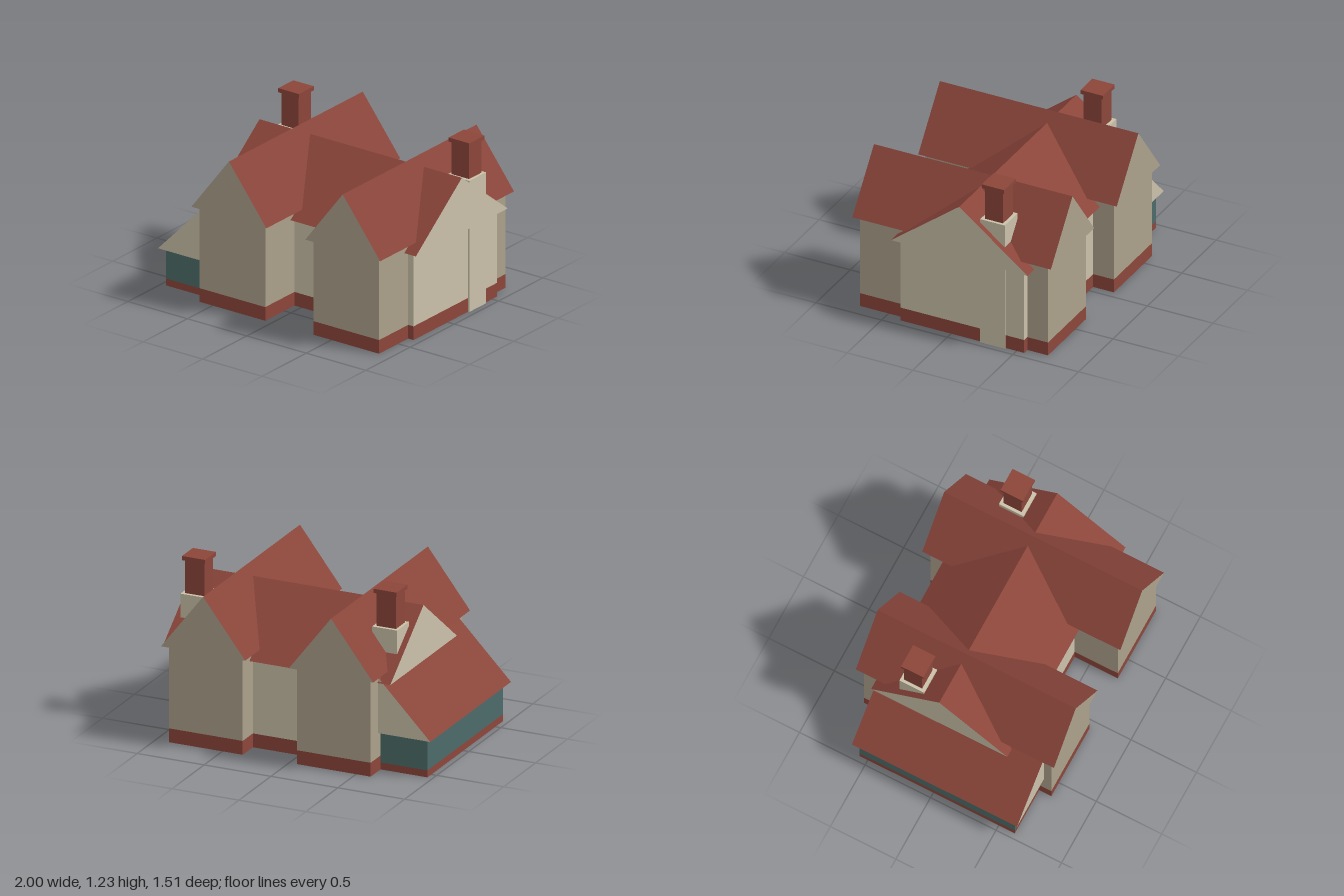
import * as THREE from 'three';

const mat = (color) => new THREE.MeshStandardMaterial({ color });

export function createModel() {
  const house = new THREE.Group();
  house.name = 'house';
  const cream = mat(0xcbc1aa), stone = mat(0xaca08b), brick = mat(0x8c463a),
    roofTile = mat(0x8a453a), glass = mat(0x4c6b69);

  const add = (name, geometry, material) => {
    const mesh = new THREE.Mesh(geometry, material);
    mesh.name = name;
    house.add(mesh);
    return mesh;
  };

  // Box given by its limits on each axis
  const block = (name, material, [x0, x1], [y0, y1], [z0, z1]) => add(name,
    new THREE.BoxGeometry(x1 - x0, y1 - y0, z1 - z0)
      .translate((x0 + x1) / 2, (y0 + y1) / 2, (z0 + z1) / 2), material);

  // Solid roof: plastered gable ends, tiled slopes and soffit
  const prism = (points, start, end) => new THREE.ExtrudeGeometry(
    new THREE.Shape(points.map(([x, y]) => new THREE.Vector2(x, y))),
    { depth: end - start, bevelEnabled: false }).translate(0, 0, start);

  // Main range, with its ridge running along x
  const mainX = [-0.655, 0.945], mainZ = [-0.557, 0.386];
  block('mainPlinth', brick, mainX, [0, 0.1], mainZ);
  block('mainWalls', cream, mainX, [0.1, 0.64], mainZ);
  add('mainRoof', prism([[-0.43, 0.64], [0.61, 0.64], [0.09, 1.04]], -0.705, 0.997)
    .rotateY(Math.PI / 2), [cream, roofTile]);

  // Two gabled cross wings, with ridges running along z
  for (const [side, cx] of [['right', -0.333], ['left', 0.624]]) {
    const wingX = [cx - 0.276, cx + 0.276], wingZ = [-0.715, 0.715];
    block(side + 'WingPlinth', brick, wingX, [0, 0.1], wingZ);
    block(side + 'WingWalls', stone, wingX, [0.1, 0.7], wingZ);
    add(side + 'WingRoof',
      prism([[cx - 0.315, 0.7], [cx + 0.315, 0.7], [cx, 1.11]], -0.757, 0.755),
      [stone, roofTile]);
  }

  // Chimneys: plastered breast, brick stack and cap
  for (const [side, cx] of [['right', -0.57], ['left', 0.863]]) {
    const part = (name, material, w, y, d) => block(side + name, material,
      [cx - w / 2, cx + w / 2], y, [-0.322 - d / 2, -0.322 + d / 2]);
    part('ChimneyBreast', cream, 0.187, [0, 0.96], 0.187);
    part('ChimneyStack', brick, 0.146, [0.96, 1.2], 0.138);
    part('ChimneyCap', brick, 0.173, [1.2, 1.23], 0.17);
  }

  // Glazed lean-to on the side
  const sunX = [-0.96, -0.6], sunZ = [-0.562, 0.622];
  block('leanToPlinth', brick, sunX, [0, 0.05], sunZ);
  block('leanToGlazing', glass, sunX, [0.05, 0.28], sunZ);
  add('leanToRoof', prism([[-1, 0.275], [-0.6, 0.275], [-0.6, 0.685]], -0.6, 0.66),
    [cream, roofTile]);

  return house;
}
